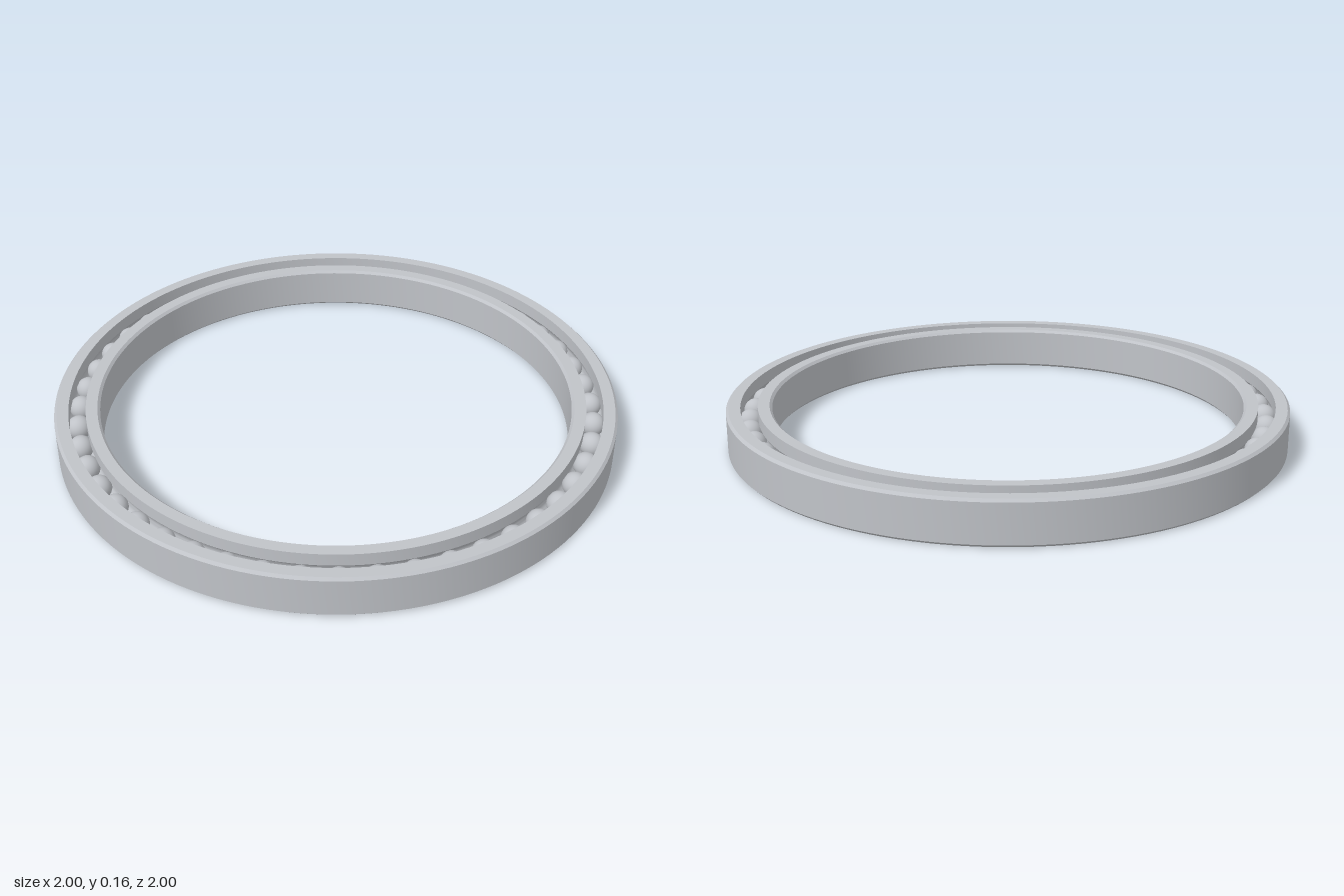
import * as THREE from 'three';
import { toCreasedNormals } from 'three/addons/utils/BufferGeometryUtils.js';

const HEIGHT = 0.155, MID = HEIGHT / 2;
const PITCH = 0.92;            // radius of the ball circle
const BALL = 0.043, BALLS = 48;
const GROOVE = 0.044, LAND = 0.03; // raceway radius, distance of the lands from the pitch circle
const CHAMFER = 0.009;

// Closed ring profile; side is +1 for the outer ring, -1 for the inner ring
function raceGeometry(edge, side) {
  const land = PITCH + side * LAND, c = CHAMFER;
  const half = Math.acos(LAND / GROOVE);
  const points = [
    [land, 0], [edge - side * c, 0], [edge, c],
    [edge, HEIGHT - c], [edge - side * c, HEIGHT], [land, HEIGHT],
  ];
  // raceway groove, from top to bottom
  for (let i = 0; i <= 10; i++) {
    const a = half - (2 * half * i) / 10;
    points.push([PITCH + side * GROOVE * Math.cos(a), MID + GROOVE * Math.sin(a)]);
  }
  points.push([land, 0]);
  if (side < 0) points.reverse(); // keep the faces pointing outwards
  const profile = points.map(([r, y]) => new THREE.Vector2(r, y));
  return toCreasedNormals(new THREE.LatheGeometry(profile, 144), 0.5);
}

export function createModel() {
  const model = new THREE.Group();
  model.name = 'ballBearing';
  const steel = new THREE.MeshStandardMaterial({ color: 0xc0c3c8 });
  steel.name = 'steel';

  // Rings
  const outer = new THREE.Mesh(raceGeometry(1, 1), steel);
  outer.name = 'outerRing';
  const inner = new THREE.Mesh(raceGeometry(0.84, -1), steel);
  inner.name = 'innerRing';
  model.add(outer, inner);

  // Balls
  const balls = new THREE.Group();
  balls.name = 'balls';
  const sphere = new THREE.SphereGeometry(BALL, 24, 16);
  for (let i = 0; i < BALLS; i++) {
    const a = (i / BALLS) * Math.PI * 2;
    const ball = new THREE.Mesh(sphere, steel);
    ball.name = 'ball';
    ball.position.set(PITCH * Math.cos(a), MID, PITCH * Math.sin(a));
    balls.add(ball);
  }
  model.add(balls);
  return model;
}
